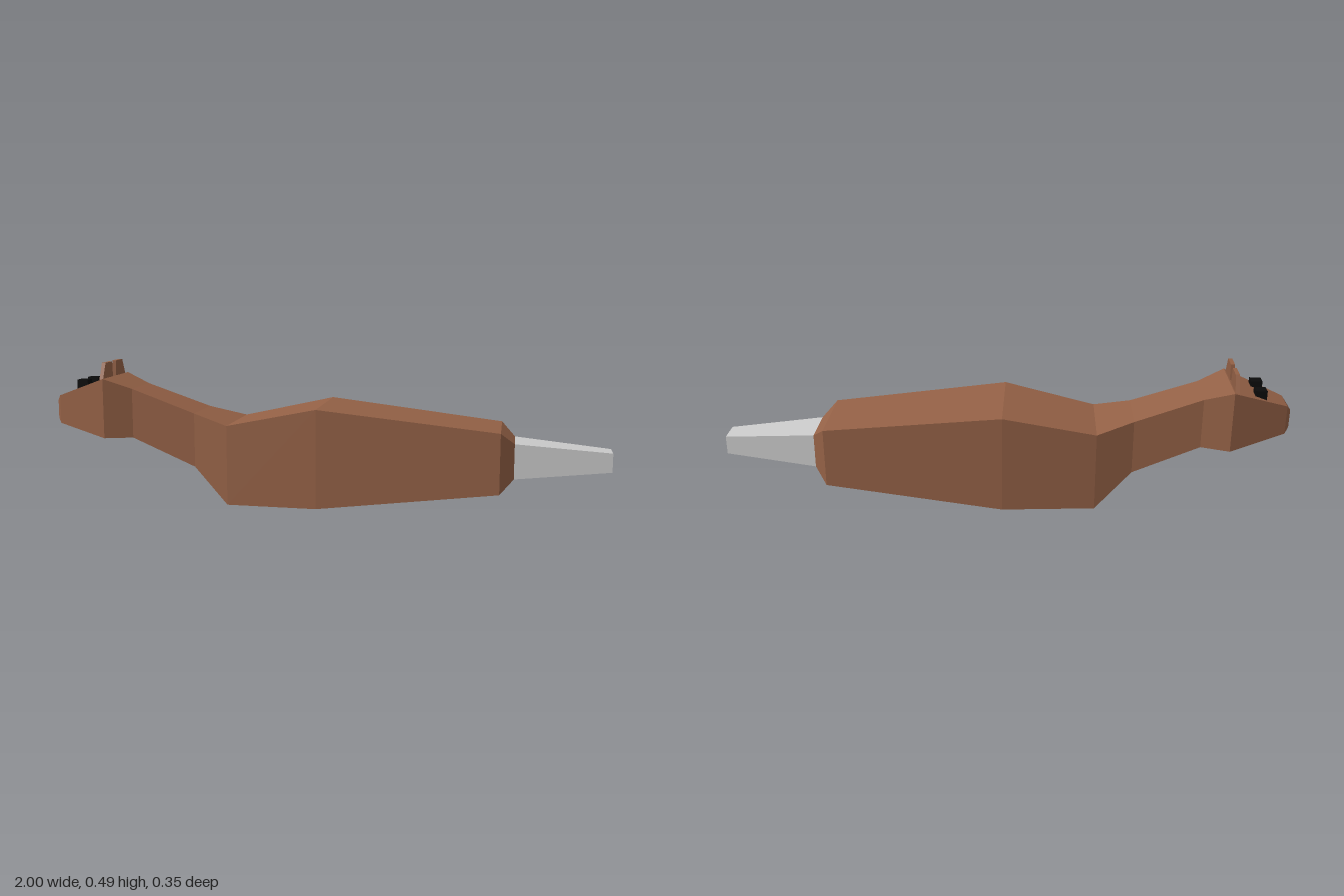
import * as THREE from 'three';

const material = (color) => new THREE.MeshStandardMaterial({ color, flatShading: true });

// Each section is [x, bottom, top, halfWidth]: a rectangle across the x axis.
const corners = ([x, b, t, w]) => [[x, b, w], [x, t, w], [x, t, -w], [x, b, -w]];

function quads(list) {
  const pos = [];
  for (const [a, b, c, d] of list) pos.push(...a, ...b, ...c, ...a, ...c, ...d);
  const geo = new THREE.BufferGeometry();
  geo.setAttribute('position', new THREE.Float32BufferAttribute(pos, 3));
  geo.computeVertexNormals();
  return geo;
}

// Chosen sides of the loft: 0 = +z, 1 = top, 2 = -z, 3 = underside
function loft(sections, sides) {
  const list = [];
  for (let i = 0; i + 1 < sections.length; i++) {
    const p = corners(sections[i]), q = corners(sections[i + 1]);
    for (const s of sides) {
      const n = (s + 1) % 4;
      list.push([p[s], q[s], q[n], p[n]]);
    }
  }
  return list;
}

export function createModel() {
  const model = new THREE.Group();
  const brown = material(0x946146), grey = material(0xcccccc), black = material(0x0a0a0a);
  const add = (name, geo, mat) => {
    const mesh = new THREE.Mesh(geo, mat);
    mesh.name = name;
    model.add(mesh);
    return mesh;
  };

  // Snout, head, neck, shoulders, middle, rump
  const body = [
    [-1.0, 0.28, 0.345, 0.035],
    [-0.985, 0.262, 0.365, 0.052],
    [-0.787, 0.222, 0.437, 0.124],
    [-0.69, 0.222, 0.4, 0.09],
    [-0.455, 0.125, 0.318, 0.1],
    [-0.325, 0, 0.283, 0.141],
    [0, 0.006, 0.353, 0.174],
    [0.625, 0.074, 0.284, 0.141],
    [0.672, 0.118, 0.24, 0.082],
  ];
  const tail = [body[body.length - 1], [1.0, 0.146, 0.212, 0.044]];

  add('bodyCoat', quads(loft(body, [0, 1, 2])), brown);
  add('underside', quads(loft(body, [3])), grey);
  add('tail', quads([...loft(tail, [0, 1, 2, 3]), corners(tail[1]).reverse()]), grey);
  add('nose', quads([corners(body[0])]), black);

  // Upright ears, thin across x, and square eyes
  for (const side of [1, -1]) {
    const outline = [[0.014, 0.425], [0.112, 0.425], [0.08, 0.491], [0.018, 0.491]]
      .map(([z, y]) => new THREE.Vector2(-side * z, y));
    const geo = new THREE.ExtrudeGeometry(new THREE.Shape(outline), { depth: 0.014, bevelEnabled: false });
    geo.rotateY(Math.PI / 2).translate(-0.805, 0, 0);
    add(side > 0 ? 'earFront' : 'earBack', geo, brown);

    const eye = add(side > 0 ? 'eyeFront' : 'eyeBack', new THREE.BoxGeometry(0.04, 0.04, 0.04), black);
    eye.position.set(-0.888, 0.406, side * 0.047);
  }
  return model;
}
